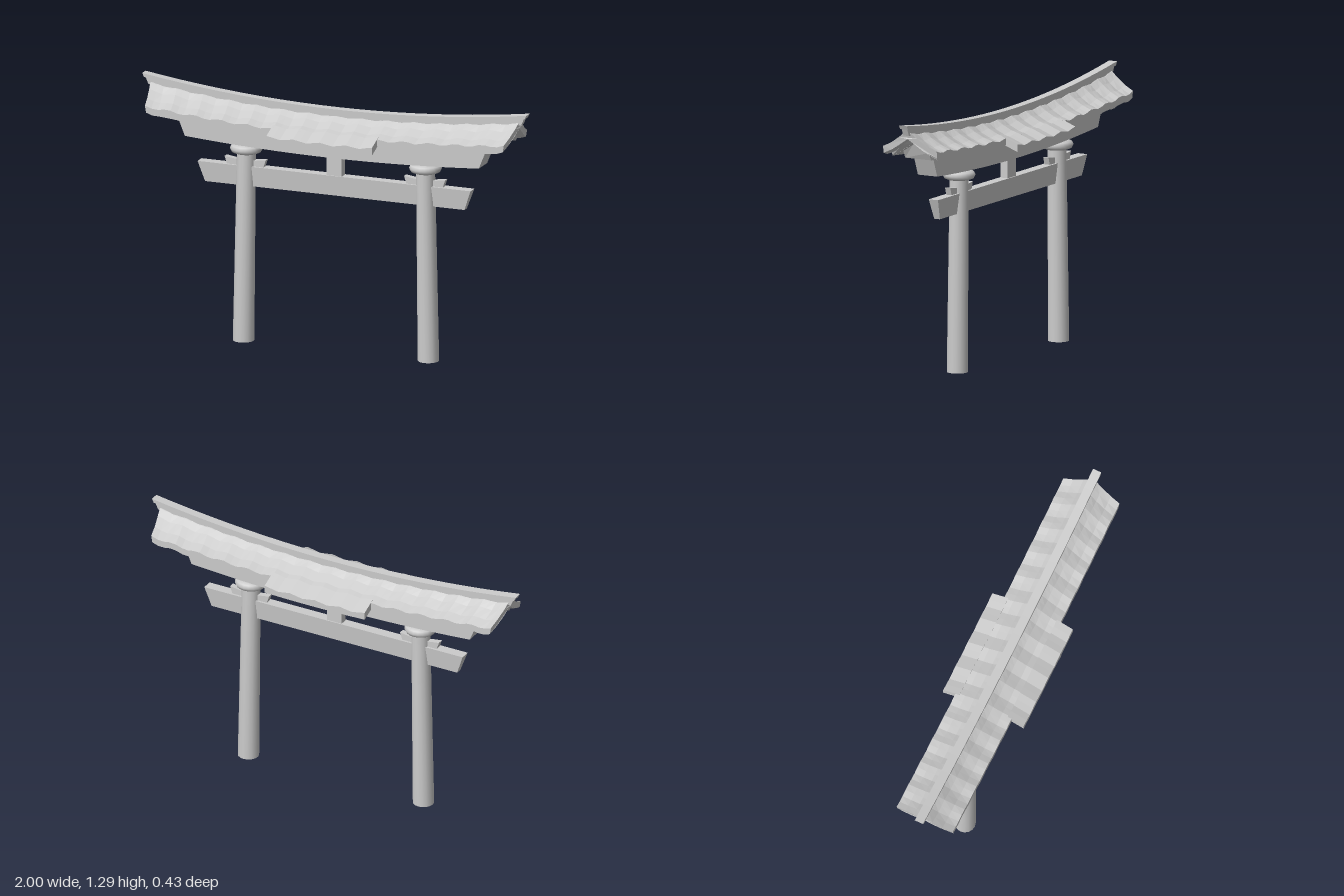
import * as THREE from 'three';

const flat = new THREE.MeshStandardMaterial({ color: 0xcccccc, flatShading: true });
const smooth = new THREE.MeshStandardMaterial({ color: 0xcccccc });

// Tile ripple along the roof
const ripple = (x) => 0.006 * Math.cos((x / 0.136) * Math.PI * 2);

// Mirrors a half section (z >= 0, bottom to top) into a closed section
const mirrored = (half) => [
  ...half,
  ...half.filter((p) => p[0] > 0).reverse().map(([z, ...rest]) => [-z, ...rest]),
];

// Sweeps a section along x. Each point is [z, y, halfLength, rise, rippleAmount]:
// the rise bends it upward toward the ends.
function sweep(name, section, steps) {
  const pos = [];
  const ring = (u) => section.map(([z, y, half, rise = 0, wave = 0]) => {
    const x = u * half;
    return [x, y + rise * x * x + wave * ripple(x), z];
  });
  const tri = (a, b, c) => pos.push(...a, ...b, ...c);
  const rings = [];
  for (let i = 0; i <= steps; i++) rings.push(ring((2 * i) / steps - 1));
  for (let i = 0; i < steps; i++) {
    const a = rings[i], b = rings[i + 1];
    for (let j = 0; j < section.length; j++) {
      const k = (j + 1) % section.length;
      tri(a[j], b[j], b[k]);
      tri(a[j], b[k], a[k]);
    }
  }
  // End caps
  const outline = section.map(([z, y]) => new THREE.Vector2(z, y));
  const first = rings[0], last = rings[steps];
  for (const [a, b, c] of THREE.ShapeUtils.triangulateShape(outline, [])) {
    tri(first[a], first[b], first[c]);
    tri(last[a], last[c], last[b]);
  }
  const geo = new THREE.BufferGeometry();
  geo.setAttribute('position', new THREE.Float32BufferAttribute(pos, 3));
  geo.computeVertexNormals();
  const mesh = new THREE.Mesh(geo, flat);
  mesh.name = name;
  return mesh;
}

function pillar(side) {
  const group = new THREE.Group();
  group.name = side > 0 ? 'leftPillar' : 'rightPillar';

  // Shaft leaning slightly inward
  const shaftGeo = new THREE.CylinderGeometry(0.046, 0.052, 0.96, 16, 1);
  shaftGeo.translate(0, 0.48, 0);
  const p = shaftGeo.attributes.position;
  for (let i = 0; i < p.count; i++) {
    p.setX(i, p.getX(i) + side * (0.481 - 0.015 * (p.getY(i) / 0.96)));
  }
  const shaft = new THREE.Mesh(shaftGeo, smooth);
  shaft.name = 'shaft';

  // Rounded collar under the beam
  const profile = [[0, 0.942], [0.055, 0.943], [0.072, 0.95], [0.08, 0.966],
    [0.073, 0.981], [0.056, 0.989], [0, 0.99]].map(([r, y]) => new THREE.Vector2(r, y));
  const collar = new THREE.Mesh(new THREE.LatheGeometry(profile, 20), smooth);
  collar.position.x = side * 0.466;
  collar.name = 'collar';

  // Neck joining collar and beam
  const neck = new THREE.Mesh(new THREE.CylinderGeometry(0.045, 0.045, 0.03, 16), smooth);
  neck.position.set(side * 0.466, 0.995, 0);
  neck.name = 'neck';
  group.add(shaft, collar, neck);

  // Wedges driven in on both sides of the shaft
  for (const dir of [-1, 1]) {
    const shape = new THREE.Shape([[0, 0.88], [0.095, 0.88], [0.107, 0.917], [0, 0.902]]
      .map(([x, y]) => new THREE.Vector2(dir * x, y)));
    const geo = new THREE.ExtrudeGeometry(shape, { depth: 0.03, bevelEnabled: false });
    geo.translate(side * 0.467, 0, -0.015);
    const wedge = new THREE.Mesh(geo, flat);
    wedge.name = 'wedge';
    group.add(wedge);
  }
  return group;
}

export function createModel() {
  const model = new THREE.Group();
  model.name = 'gate';

  model.add(pillar(1), pillar(-1));

  // Tie beam and centre strut
  model.add(sweep('tieBeam', mirrored([[0.016, 0.78, 0.675], [0.026, 0.88, 0.71]]), 1));
  const strut = new THREE.Mesh(new THREE.BoxGeometry(0.08, 0.13, 0.04), flat);
  strut.position.set(-0.002, 0.93, 0);
  strut.name = 'centreStrut';
  model.add(strut);

  // Curved lintel, and the gabled beam lying on it
  model.add(sweep('lintel', mirrored([
    [0.054, 0.978, 0.765, 0.05], [0.054, 1.07, 0.805, 0.055],
  ]), 16));
  model.add(sweep('gabledBeam', mirrored([
    [0.072, 1.052, 0.855, 0.07], [0.072, 1.09, 0.875, 0.068], [0, 1.135, 0.89, 0.072],
  ]), 16));

  // Smooth boards under the tiles
  model.add(sweep('roofBoards', mirrored([
    [0, 1.125, 0.9, 0.075], [0.05, 1.1, 0.9, 0.068], [0.125, 1.07, 0.885, 0.055],
    [0.125, 1.092, 0.895, 0.055], [0.05, 1.122, 0.925, 0.068], [0, 1.155, 0.93, 0.075],
  ]), 16));

  // Rippled, concave roof
  model.add(sweep('roof', mirrored([
    [0, 1.148, 0.955, 0.075], [0.05, 1.117, 0.948, 0.068, 1], [0.1, 1.096, 0.938, 0.06, 1],
    [0.15, 1.084, 0.928, 0.052, 1],
    [0.15, 1.117, 0.934, 0.052, 1], [0.1, 1.131, 0.942, 0.06, 1], [0.05, 1.155, 0.952, 0.068, 1],
    [0.02, 1.175, 0.958, 0.073, 0.7], [0, 1.185, 0.96, 0.075],
  ]), 56));

  // Wider eaves over the middle, front and back
  const eave = [
    [0.13, 1.092, 0.275, 0.06], [0.215, 1.06, 0.275, 0.06],
    [0.215, 1.092, 0.275, 0.06, 1], [0.13, 1.125, 0.275, 0.06, 1],
  ];
  model.add(sweep('frontEave', eave, 16));
  model.add(sweep('backEave', eave.map(([z, ...rest]) => [-z, ...rest]).reverse(), 16));

  // Ridge with a wider cap
  model.add(sweep('ridge', mirrored([[0.016, 1.165, 0.97, 0.075], [0.016, 1.198, 0.985, 0.075]]), 20));
  model.add(sweep('ridgeCap', mirrored([[0.022, 1.196, 0.99, 0.075], [0.022, 1.214, 1, 0.075]]), 20));

  return model;
}
